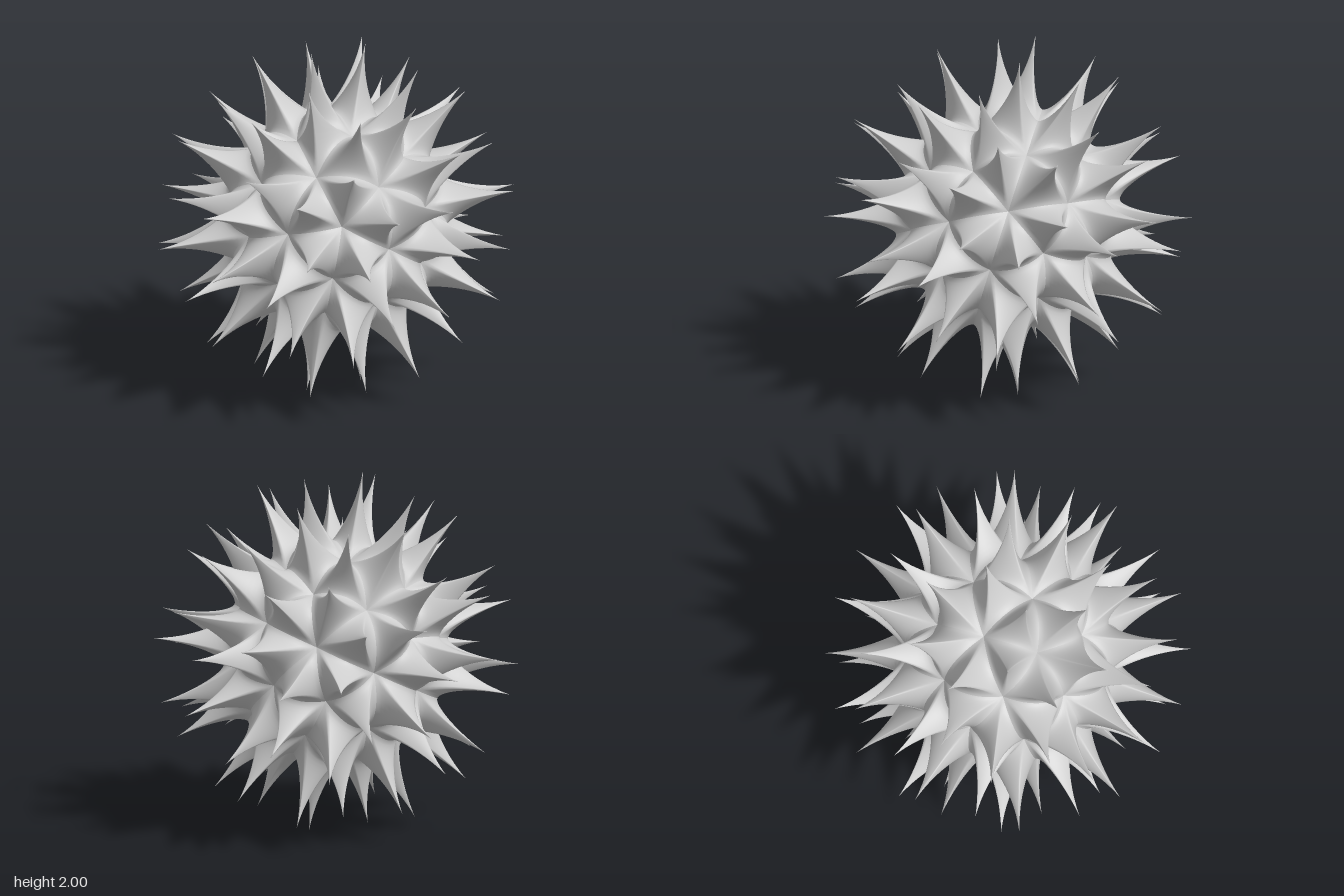
import * as THREE from 'three';

const PIT = 0.56;      // radius at the pits between spikes
const ARCH = 0.06;     // rise of the valley line between two pits
const EDGE_STEPS = 10; // points along each side of a spike's base
const RINGS = 12;      // rings from base to tip

// One three-sided spike over the spherical triangle of unit vectors
function spikeGeometry(corners) {
  const centre = corners.reduce((sum, c) => sum.add(c), new THREE.Vector3()).divideScalar(3);
  const tipHeight = centre.length() + 0.068;
  const axis = centre.clone().normalize();

  // Arched base outline
  const base = [];
  corners.forEach((a, i) => {
    const b = corners[(i + 1) % 3];
    for (let k = 0; k < EDGE_STEPS; k++) {
      const s = k / EDGE_STEPS;
      base.push(a.clone().lerp(b, s).setLength(PIT + ARCH * Math.sin(Math.PI * s)));
    }
  });

  // Rings sweep inward and upward along a concave profile
  const positions = [], index = [], n = base.length;
  for (let r = 0; r < RINGS; r++) {
    const t = r / RINGS, u = 1 - t;
    const b0 = u ** 3, b1 = 3 * u * u * t, b2 = 3 * u * t * t, b3 = t ** 3;
    for (const p of base) {
      const h = p.dot(axis);
      const side = p.clone().addScaledVector(axis, -h);
      const w = side.length();
      const width = b0 * w + b1 * 0.6 * w + b2 * (0.05 * w + 0.006);
      const height = b0 * h + b1 * 0.62 + b2 * 0.79 + b3 * tipHeight;
      const q = side.setLength(width).addScaledVector(axis, height);
      positions.push(q.x, q.y, q.z);
    }
  }
  const tip = axis.clone().multiplyScalar(tipHeight);
  positions.push(tip.x, tip.y, tip.z);

  for (let r = 0; r < RINGS; r++) {
    for (let i = 0; i < n; i++) {
      const a = r * n + i, b = r * n + (i + 1) % n;
      if (r === RINGS - 1) index.push(a, b, RINGS * n);
      else index.push(a, b, b + n, a, b + n, a + n);
    }
  }
  const geometry = new THREE.BufferGeometry();
  geometry.setAttribute('position', new THREE.Float32BufferAttribute(positions, 3));
  geometry.setIndex(index);
  geometry.computeVertexNormals();
  return geometry;
}

export function createModel() {
  const model = new THREE.Group();
  model.name = 'spikyBall';
  const grey = new THREE.MeshStandardMaterial({ color: 0xcccccc });
  grey.name = 'light grey';

  // Eighty-faced sphere, turned so a five-sided pit points along x
  const guide = new THREE.IcosahedronGeometry(1, 1);
  guide.rotateZ(Math.atan((1 + Math.sqrt(5)) / 2));
  const points = guide.getAttribute('position');

  // One spike on every face
  for (let f = 0; f < points.count; f += 3) {
    const corners = [0, 1, 2].map(k => new THREE.Vector3().fromBufferAttribute(points, f + k));
    const spike = new THREE.Mesh(spikeGeometry(corners), grey);
    spike.name = 'spike' + (f / 3 + 1);
    spike.position.y = 1;
    model.add(spike);
  }
  return model;
}
